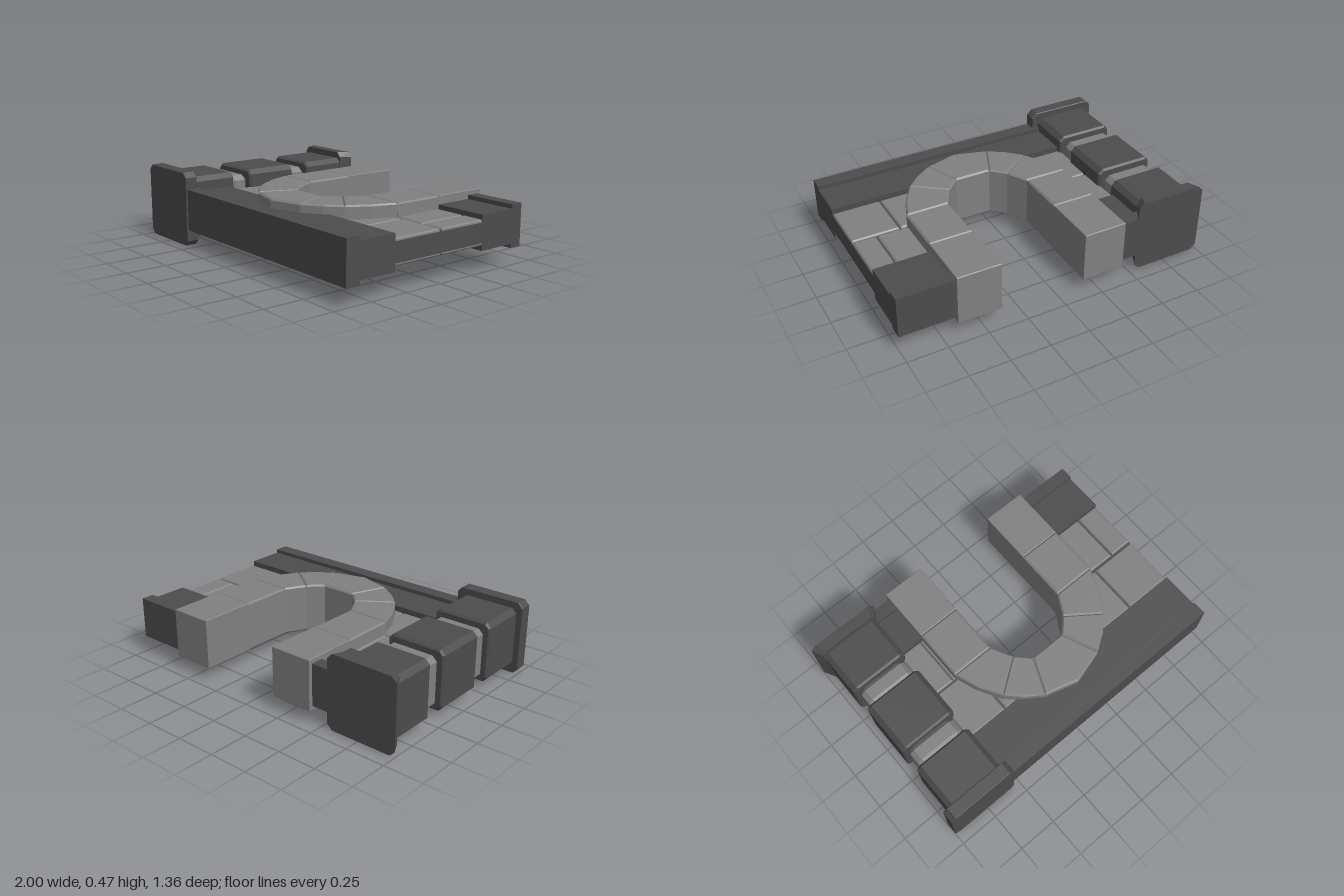
import * as THREE from 'three';

const dark = new THREE.MeshStandardMaterial({ color: 0x4c4c4c, flatShading: true });
const light = new THREE.MeshStandardMaterial({ color: 0x808080, flatShading: true });
const MID = 0.235; // height of the wall's mid-plane

// Extrudes an outline to an exact total depth, bevelled inwards
function extrude(points, depth, bevel = 0) {
  const shape = new THREE.Shape(points.map(([a, b]) => new THREE.Vector2(a, b)));
  const geo = new THREE.ExtrudeGeometry(shape, {
    depth: depth - 2 * bevel, bevelEnabled: bevel > 0, bevelSegments: 1,
    bevelSize: bevel, bevelThickness: bevel, bevelOffset: -bevel,
  });
  return geo.translate(0, 0, bevel);
}

export function createModel() {
  const model = new THREE.Group();
  const add = (name, geo, material) => {
    const mesh = new THREE.Mesh(geo, material);
    mesh.name = name;
    model.add(mesh);
    return mesh;
  };

  // Outline in x and z, raised evenly about the mid-plane
  const slab = (name, outline, half, bevel, material) => {
    const geo = extrude(outline.map(([x, z]) => [x, -z]), 2 * half, bevel);
    add(name, geo.rotateX(-Math.PI / 2).translate(0, MID - half, 0), material);
  };
  const rect = (x0, x1, z0, z1) => [[x0, z0], [x1, z0], [x1, z1], [x0, z1]];

  // Stepped beam running along x: thick lip at zLip, thinner towards zIn
  const beam = (name, x0, x1, zLip, zStep, zIn) => {
    const top = [[zLip, 0.13], [zStep, 0.13], [zStep, 0.105], [zIn, 0.105]];
    const outline = [...top, ...top.slice().reverse().map(([z, h]) => [z, -h])];
    const geo = extrude(outline.map(([z, h]) => [-z, MID + h]), x1 - x0);
    add(name, geo.rotateY(Math.PI / 2).translate(x0, 0, 0), dark);
  };

  // Chamfered block of the pillar, extruded along z
  const pillarBlock = (name, x0, x1, z0, z1, half, c, bevel, material) => {
    const y0 = MID - half, y1 = MID + half;
    const outline = [[x0 + c, y0], [x1 - c, y0], [x1, y0 + c], [x1, y1 - c],
      [x1 - c, y1], [x0 + c, y1], [x0, y1 - c], [x0, y0 + c]];
    return add(name, extrude(outline, z1 - z0, bevel).translate(0, 0, z0), material);
  };

  // Wall core with the arch opening cut out
  slab('wallCore', [[-0.6, -0.5], [-0.3, -0.5], [-0.3, 0.05], [-0.2, 0.2], [-0.05, 0.35],
    [0.28, 0.35], [0.43, 0.2], [0.52, 0.05], [0.52, -0.5], [1, -0.5], [1, 0.5], [-0.6, 0.5]],
  0.06, 0, dark);

  // Beams
  beam('frontBeam', -0.6, 1, 0.67, 0.58, 0.34);
  beam('backBeamRight', -0.6, -0.3, -0.655, -0.575, -0.325);
  beam('backBeamLeft', 0.52, 1, -0.655, -0.575, -0.325);

  // Bricks showing on both faces of the wall
  const bricks = [
    rect(-0.6, -0.45, -0.33, -0.005), rect(-0.445, -0.32, -0.33, -0.005),
    rect(-0.6, -0.325, 0.005, 0.335),
    [[-0.315, 0.2], [-0.2, 0.2], [-0.12, 0.335], [-0.315, 0.335]],
    rect(0.53, 0.845, -0.33, -0.005), rect(0.855, 0.997, -0.33, -0.005),
    [[0.56, 0.01], [0.69, 0.01], [0.69, 0.335], [0.36, 0.335]],
    rect(0.7, 0.997, 0.01, 0.335),
  ];
  bricks.forEach((b) => slab('brick', b, 0.077, 0.008, light));

  // Arch stones, mirrored about the arch axis
  const AXIS = 0.112;
  const side = [
    [[0.27, -0.68], [0.543, -0.68], [0.543, -0.328], [0.27, -0.328]],
    [[0.27, -0.328], [0.543, -0.328], [0.543, 0], [0.27, 0]],
    [[0.27, 0], [0.54, 0], [0.49, 0.14], [0.405, 0.28], [0.2, 0.13]],
    [[0.2, 0.13], [0.405, 0.28], [0.32, 0.365], [0.21, 0.44], [0.115, 0.215]],
  ];
  for (const s of [1, -1]) {
    side.forEach((p, i) => slab(i < 2 ? 'archLegStone' : 'archStone',
      p.map(([x, z]) => [AXIS + s * x, z]), 0.159, i ? 0.01 : 0.004, light));
  }
  slab('keystone', [[-0.115, 0.215], [0.115, 0.215], [0.21, 0.44], [0, 0.5], [-0.21, 0.44]]
    .map(([x, z]) => [AXIS + x, z]), 0.159, 0.01, light);

  // Pillar blocks with lighter stones between them
  for (const [z0, z1] of [[0.3, 0.61], [-0.17, 0.175], [-0.6, -0.295]]) {
    pillarBlock('pillarBlock', -0.96, -0.58, z0, z1, 0.191, 0.03, 0.012, dark);
  }
  for (const z of [0.182, -0.288]) {
    pillarBlock('pillarSpacer', -0.93, -0.61, z, z + 0.112, 0.158, 0.03, 0.02, light);
  }
  pillarBlock('pillarCore', -0.91, -0.63, -0.55, 0.55, 0.135, 0.02, 0, dark);

  // Pillar end caps; the back one narrows towards the pillar
  pillarBlock('frontCap', -1, -0.54, 0.6, 0.68, 0.234, 0.032, 0.004, dark);
  const cap = pillarBlock('backCap', -1, -0.54, -0.656, -0.586, 0.232, 0.032, 0, dark);
  const pos = cap.geometry.attributes.position;
  for (let i = 0; i < pos.count; i++) {
    if (pos.getZ(i) > -0.6) pos.setX(i, -0.77 + (pos.getX(i) + 0.77) * 0.84);
  }
  cap.geometry.computeVertexNormals();

  return model;
}
